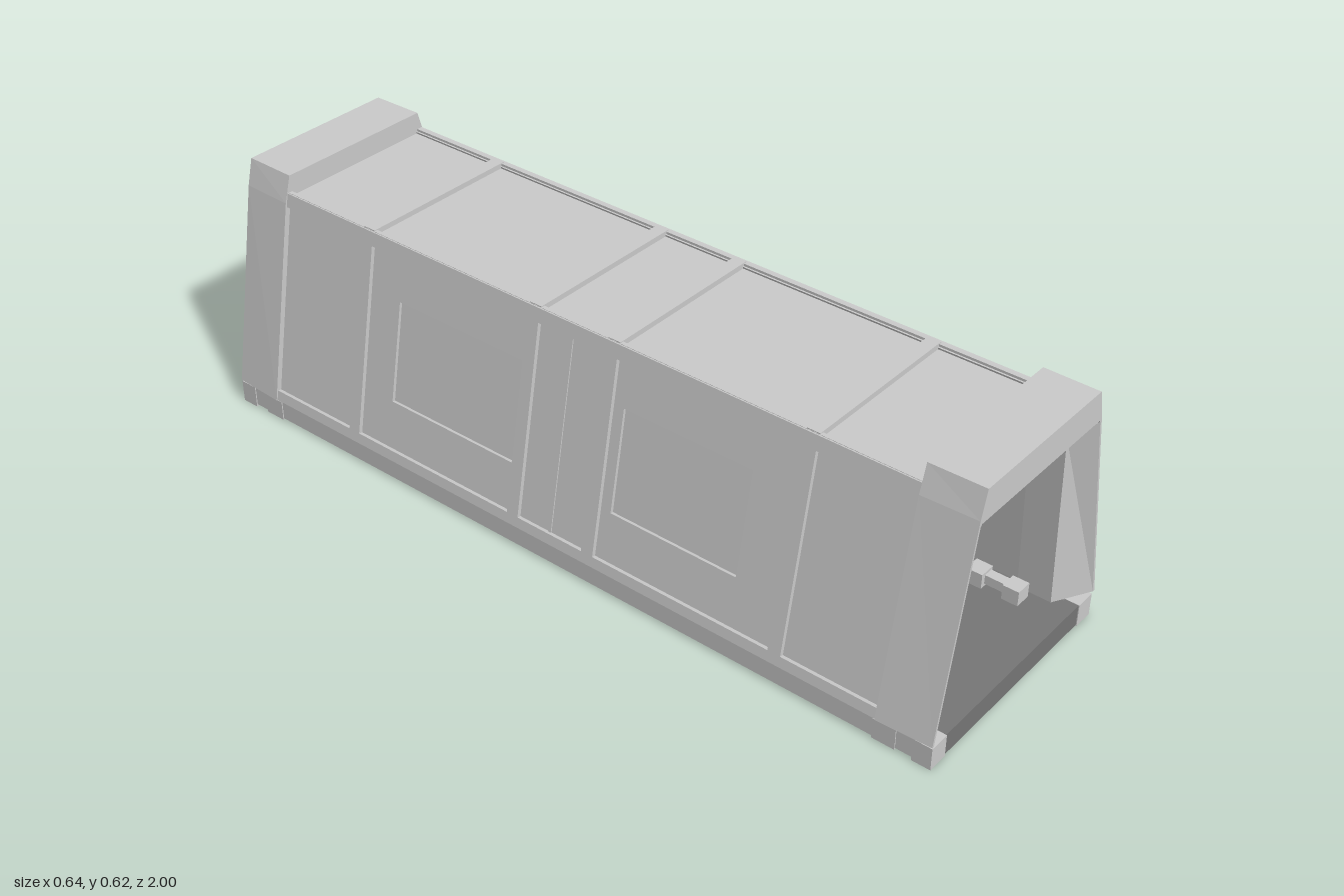
import * as THREE from 'three';

const grey = new THREE.MeshStandardMaterial({ color: 0xcccccc, flatShading: true, side: THREE.DoubleSide });
const dark = grey.clone();
dark.color.set(0x777777);
const TILT = 0.184;                 // lean of the side walls
const BASE = [0.315, 0.06];         // outer foot of a side wall
const RIBS = [0.615, 0.1125, -0.105, -0.605];
const WINDOWS = [[0.155, 0.49], [-0.5, -0.13]];
const slope = y => (y - BASE[1]) / Math.cos(TILT); // height -> distance along wall

function add(parent, geometry, name, material = grey) {
  const mesh = new THREE.Mesh(geometry, material);
  mesh.name = name;
  parent.add(mesh);
  return mesh;
}

// box given by its extents on each axis
function box(parent, name, [x0, x1], [y0, y1], [z0, z1], material) {
  const g = new THREE.BoxGeometry(Math.abs(x1 - x0), y1 - y0, z1 - z0);
  g.translate((x0 + x1) / 2, (y0 + y1) / 2, (z0 + z1) / 2);
  return add(parent, g, name, material);
}

// cross-section in x/y swept from z0 to z1, s mirrors it across x
function prism(parent, name, points, z0, z1, s = 1) {
  const shape = new THREE.Shape(points.map(([x, y]) => new THREE.Vector2(s * x, y)));
  const g = new THREE.ExtrudeGeometry(shape, { depth: z1 - z0, bevelEnabled: false });
  g.translate(0, 0, z0);
  return add(parent, g, name);
}

// end frame: quads between matching arch outlines, a splayed jamb then a straight throat
function portalGeometry() {
  const arch = half => [...half, ...half.slice().reverse().map(([x, y, z]) => [-x, y, z])];
  const loops = [
    [[0.318, 0.06, 0.868], [0.226, 0.56, 0.868], [0.207, 0.625, 0.868]],
    [[0.312, 0.06, 1], [0.222, 0.56, 1], [0.205, 0.625, 1]],
    [[0.306, 0.06, 1], [0.219, 0.545, 1], [0.215, 0.55, 1]],
    [[0.217, 0.06, 0.95], [0.187, 0.5, 0.95], [0.185, 0.51, 0.9]],
    [[0.217, 0.06, 0.868], [0.187, 0.5, 0.868], [0.185, 0.51, 0.868]],
  ].map(arch);
  const pos = [];
  const fan = c => {
    for (let i = 1; i < c.length - 1; i++) pos.push(...c[0], ...c[i], ...c[i + 1]);
  };
  loops.forEach((p, k) => {
    const q = loops[(k + 1) % loops.length];
    for (let i = 0; i < 5; i++) fan([p[i], p[i + 1], q[i + 1], q[i]]);
  });
  fan(loops.map(l => l[0]));
  fan(loops.map(l => l[5]).reverse());
  const g = new THREE.BufferGeometry();
  g.setAttribute('position', new THREE.Float32BufferAttribute(pos, 3));
  g.computeVertexNormals();
  return g;
}

function buildWall(model, s) {
  // wall core and inner ribs
  prism(model, 'wallCore', [[0.296, 0.06], [0.203, 0.572], [0.183, 0.572], [0.235, 0.06]], -0.87, 0.87, s);
  for (const z of RIBS) {
    prism(model, 'innerRib', [[0.24, 0.056], [0.19, 0.53], [0.165, 0.51], [0.2, 0.056]], z - 0.03, z + 0.03, s);
  }

  // leaning outer skin with window recesses
  const wall = new THREE.Group();
  wall.name = 'outerWall';
  wall.position.set(s * BASE[0], BASE[1], 0);
  wall.rotation.z = s * TILT;
  model.add(wall);
  const top = slope(0.58);
  const rect = (C, [a, b], [c, d]) => new C([[a, c], [b, c], [b, d], [a, d]].map(p => new THREE.Vector2(...p)));
  const skin = rect(THREE.Shape, [-0.87, 0.87], [0, top]);
  for (const w of WINDOWS) skin.holes.push(rect(THREE.Path, w, [slope(0.2), slope(0.445)]));
  const g = new THREE.ExtrudeGeometry(skin, { depth: 0.009, bevelEnabled: false });
  g.rotateY(-Math.PI / 2);
  g.translate(s > 0 ? -0.01 : 0.019, 0, 0);
  add(wall, g, 'wallSkin');

  // raised frame strips
  const x = [-0.012 * s, 0];
  box(wall, 'bottomStrip', x, [0, slope(0.085)], [-0.87, 0.87]);
  box(wall, 'topStrip', x, [slope(0.55), slope(0.583)], [-0.87, 0.87]);
  for (const z of RIBS) box(wall, 'outerRib', x, [0, top], [z - 0.016, z + 0.016]);
  box(wall, 'centreSeam', [-0.012 * s, -0.007 * s], [0, top], [-0.003, 0.003]);

  // tilted interior screens behind the windows
  for (const [a, b] of WINDOWS) {
    prism(model, 'innerScreen', [[0.22, 0.19], [0.17, 0.19], [0.172, 0.22], [0.136, 0.445], [0.195, 0.445]], a, b, s);
  }
}

function buildFittings(base, s) {
  // interior and underside rails
  box(base, 'lowerRail', [s * 0.182, s * 0.207], [0.062, 0.085], [-0.95, 0.88]);
  box(base, 'upperRail', [s * 0.15, s * 0.18], [0.468, 0.495], [-0.95, 0.9]);
  box(base, 'sideRail', [s * 0.278, s * 0.304], [0.006, 0.056], [-0.97, 0.97]);
  box(base, 'floorEdge', [s * 0.234, s * 0.25], [0.006, 0.05], [-0.97, 0.97]);
  box(base, 'railTie', [s * 0.24, s * 0.3], [0.015, 0.045], [-0.012, 0.012]);

  // blocks under both ends
  for (const e of [-1, 1]) {
    const span = (a, b) => (e > 0 ? [a, b] : [-b, -a]);
    box(base, 'cornerBlock', [s * 0.255, s * 0.3065], [0, 0.056], span(0.955, 1));
    box(base, 'footBlock', [s * 0.255, s * 0.3065], [0.003, 0.054], span(0.86, 0.915));
    box(base, 'footTie', [s * 0.195, s * 0.245], [0, 0.035], span(0.87, 0.905));
  }

  // clamps holding the interior rails
  for (const z of [0.88, 0.79, -0.91, -0.965]) {
    box(base, 'lowerClamp', [s * 0.17, s * 0.212], [0.054, 0.092], [z - 0.02, z + 0.02]);
  }
  for (const z of [0.905, -0.95]) {
    box(base, 'upperClamp', [s * 0.126, s * 0.175], [0.457, 0.507], [z - 0.025, z + 0.025]);
  }
}

export function createModel() {
  const model = new THREE.Group();
  model.name = 'corridor';

  // floor and fittings sit slightly off the shell's centre line
  const base = new THREE.Group();
  base.name = 'baseAndFittings';
  base.position.x = -0.004;
  model.add(base);
  box(base, 'floor', [-0.25, 0.25], [0.025, 0.055], [-0.98, 0.98], dark);
  for (const e of [-1, 1]) {
    box(base, 'endBeam', [-0.256, 0.256], [0.002, 0.055], e > 0 ? [0.965, 0.998] : [-0.998, -0.965], dark);
    const portal = add(model, portalGeometry(), 'portal');
    if (e < 0) portal.rotation.y = Math.PI;
  }

  // roof with raised bands and edge strips
  prism(model, 'roof', [[-0.2, 0.54], [0.2, 0.54], [0.208, 0.572], [-0.208, 0.572]], -0.87, 0.87);
  for (const z of RIBS) {
    box(model, 'roofBand', [-0.212, 0.212], [0.565, 0.585], [z - 0.016, z + 0.016]);
    box(model, 'ceilingRib', [-0.185, 0.185], [0.51, 0.55], [z - 0.03, z + 0.03]);
  }
  box(base, 'ceilingDuct', [-0.08, 0.067], [0.47, 0.545], [-0.9, 0.9]);

  for (const s of [-1, 1]) {
    box(model, 'roofEdge', [s * 0.203, s * 0.213], [0.565, 0.583], [-0.87, 0.87]);
    buildWall(model, s);
    buildFittings(base, s);
  }
  return model;
}
